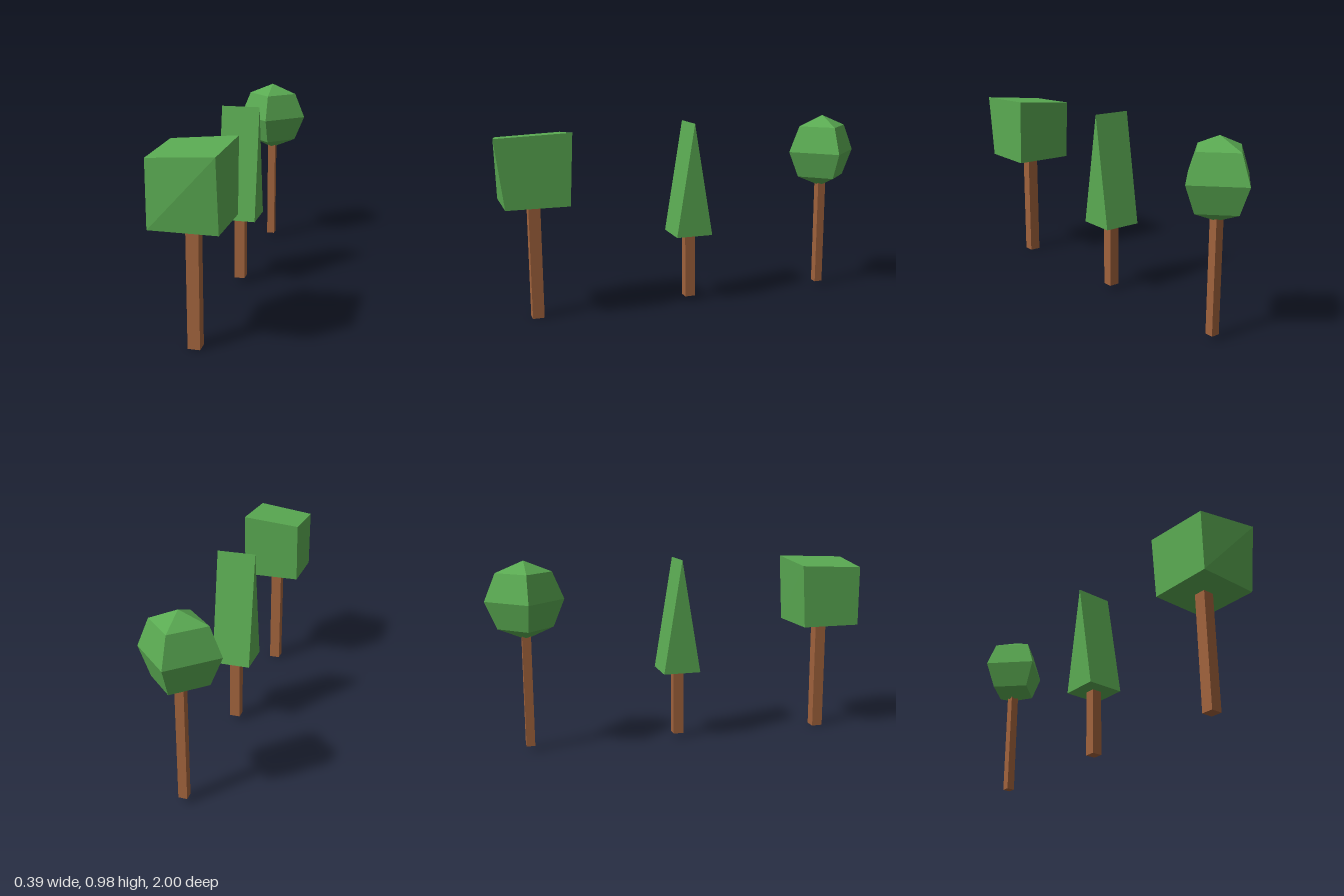
import * as THREE from 'three';

const leaf = new THREE.MeshStandardMaterial({ color: 0x5aaa52, flatShading: true });
const bark = new THREE.MeshStandardMaterial({ color: 0xa0623c, flatShading: true });

// Square trunk plus a crown, grouped under one name
function makeTree(name, z, trunkWidth, bottom, top, crownGeometry, crownY) {
  const tree = new THREE.Group();
  tree.name = name;
  tree.position.z = z;
  const trunk = new THREE.Mesh(new THREE.BoxGeometry(trunkWidth, top - bottom, trunkWidth), bark);
  trunk.name = 'trunk';
  trunk.position.y = (bottom + top) / 2;
  const crown = new THREE.Mesh(crownGeometry, leaf);
  crown.name = 'crown';
  crown.position.y = crownY;
  tree.add(trunk, crown);
  return tree;
}

// Moves every vertex of a geometry by a rule
function reshape(geometry, rule) {
  const p = geometry.attributes.position;
  const v = new THREE.Vector3();
  for (let i = 0; i < p.count; i++) {
    rule(v.fromBufferAttribute(p, i));
    p.setXYZ(i, v.x, v.y, v.z);
  }
  geometry.computeVertexNormals();
  return geometry;
}

export function createModel() {
  const model = new THREE.Group();
  model.name = 'trees';

  // Block crown: sloping top, upper front corner pulled out on the left
  const block = reshape(new THREE.BoxGeometry(0.316, 0.312, 0.312), (v) => {
    if (v.y < 0) return;
    const left = v.x > 0;
    const front = v.z > 0;
    v.y += (left ? 0.029 : 0) + (front ? 0 : 0.015);
    if (!front) v.z -= 0.018;
    else if (left) v.z += 0.042;
  });
  model.add(makeTree('blockTree', 0.802, 0.059, 0, 0.595, block, 0.751));

  // Wedge crown: the top closes to a ridge along x
  const wedgeShape = new THREE.Shape([
    new THREE.Vector2(-0.098, 0),
    new THREE.Vector2(0.098, 0),
    new THREE.Vector2(0, 0.59),
  ]);
  const wedge = new THREE.ExtrudeGeometry(wedgeShape, { depth: 0.2, bevelEnabled: false });
  wedge.translate(0, 0, -0.1).rotateY(Math.PI / 2);
  model.add(makeTree('wedgeTree', -0.016, 0.055, 0.026, 0.375, wedge, 0.375));

  // Round crown: four-sided sphere with corners on the x and z axes
  const ball = new THREE.SphereGeometry(0.197, 4, 4);
  model.add(makeTree('roundTree', -0.803, 0.044, 0.026, 0.6, ball, 0.779));

  return model;
}
